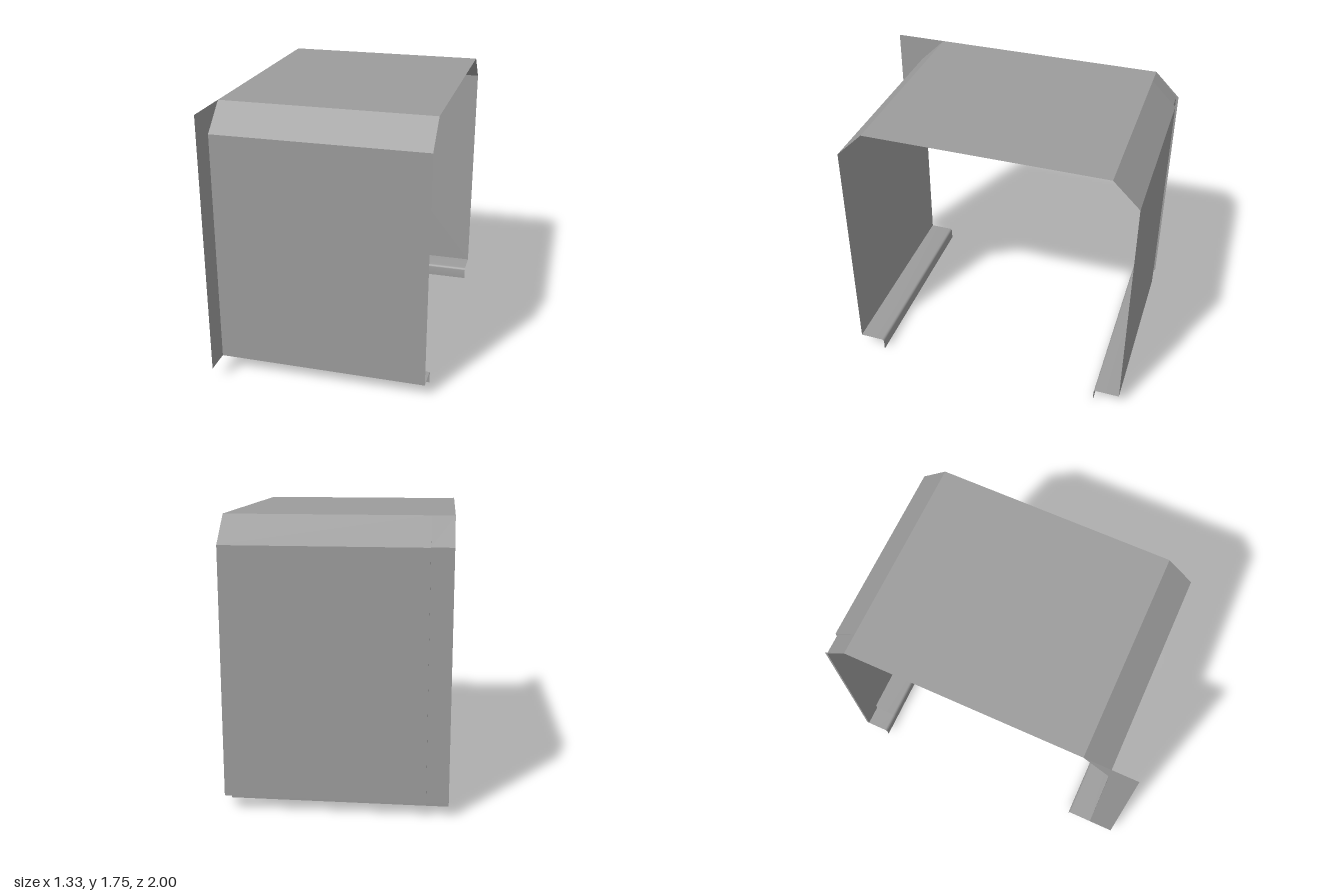
import * as THREE from 'three';
import { toCreasedNormals } from 'three/addons/utils/BufferGeometryUtils.js';

const material = new THREE.MeshStandardMaterial({ color: 0x9c9c9c, side: THREE.DoubleSide });

const X = 0.667;          // half width
const STEP_X = -0.535;    // where the rear overlap strip is set in
const LOW = 0.085, BEND = 1.587, TOP = 1.75;
const FRONT = 0.836, BACK = -1, STRIP = -0.985;
const LIP = 0.168;        // depth of the bottom lips

// Folded sheet: a [z, y] profile swept straight across from x0 to x1
function sheet(name, profile, x0 = -X, x1 = X) {
  const pos = [], index = [];
  profile.forEach(([z, y], i) => {
    pos.push(x0, y, z, x1, y, z);
    if (i) {
      const a = 2 * (i - 1);
      index.push(a, a + 1, a + 3, a, a + 3, a + 2);
    }
  });
  const geometry = new THREE.BufferGeometry();
  geometry.setAttribute('position', new THREE.Float32BufferAttribute(pos, 3));
  geometry.setIndex(index);
  const mesh = new THREE.Mesh(toCreasedNormals(geometry, Math.PI / 5), material);
  mesh.name = name;
  return mesh;
}

// Flat plate in the z-y plane at a given x
function sidePlate(name, x, outline) {
  const shape = new THREE.Shape(outline.map(([z, y]) => new THREE.Vector2(-z, y)));
  const geometry = new THREE.ShapeGeometry(shape);
  geometry.rotateY(Math.PI / 2);
  geometry.translate(x, 0, 0);
  const mesh = new THREE.Mesh(geometry, material);
  mesh.name = name;
  return mesh;
}

// Inward bottom lip with a small rounded bend and a short drop
function lip(name, zOuter, zInner, x0, x1) {
  const r = 0.018, side = Math.sign(zOuter);
  const profile = [[zOuter, LOW]];
  for (let i = 0; i <= 4; i++) {
    const a = (i / 4) * Math.PI / 2;
    profile.push([zInner + side * r * (1 - Math.sin(a)), LOW - r * (1 - Math.cos(a))]);
  }
  profile.push([zInner, 0]);
  return sheet(name, profile, x0, x1);
}

export function createModel() {
  const group = new THREE.Group();
  group.name = 'foldedCover';

  const frontEdge = [0.667, TOP];
  const backEdge = [-0.835, TOP];

  // Front, top and back skins with their sloped corners
  group.add(sheet('frontPanel', [[FRONT, LOW], [FRONT, BEND]]));
  group.add(sheet('frontSlope', [[FRONT, BEND], frontEdge]));
  group.add(sheet('topPanel', [frontEdge, backEdge]));
  group.add(sheet('backSlope', [backEdge, [BACK, BEND]], STEP_X, X));
  group.add(sheet('backPanel', [[BACK, BEND], [BACK, LOW]], STEP_X, X));

  // Set-in overlap strip at the rear, with the thin walls of its step
  group.add(sheet('overlapStrip', [backEdge, [STRIP, BEND], [STRIP, LOW]], -X, STEP_X));
  const stepOutline = [[BACK, LOW], [BACK, BEND], backEdge, [STRIP, BEND], [STRIP, LOW]];
  group.add(sidePlate('overlapStep', STEP_X, stepOutline));
  group.add(sidePlate('overlapReturn', -X, stepOutline));

  // Front side flange, filling the sloped corner
  group.add(sidePlate('sideFlange', -X, [
    [1, LOW], [1, TOP], frontEdge, [FRONT, BEND], [FRONT, LOW],
  ]));

  // Bottom lips
  group.add(lip('frontLip', FRONT, FRONT - LIP, -X, X));
  group.add(lip('backLip', BACK, BACK + LIP, STEP_X, X));
  group.add(lip('overlapLip', STRIP, BACK + LIP, -X, STEP_X));

  return group;
}
